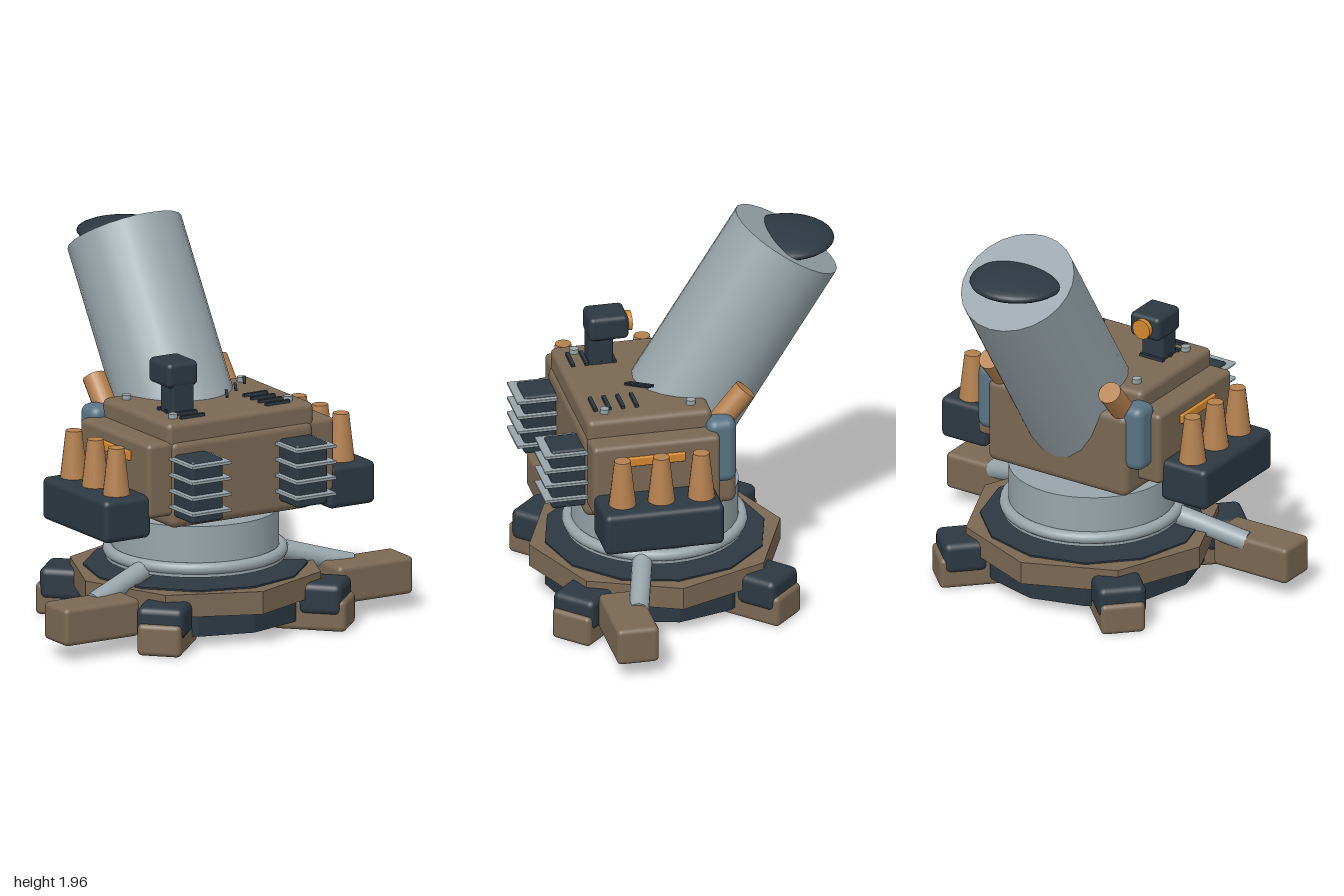
import * as THREE from 'three';
import { RoundedBoxGeometry } from 'three/addons/geometries/RoundedBoxGeometry.js';

const mat = (color, flatShading = false) => new THREE.MeshStandardMaterial({ color, flatShading });
const BROWN = mat(0x7a6853), DARK = mat(0x2c3842), GREY = mat(0x98a5aa);
const COPPER = mat(0xb5814f), ORANGE = mat(0xd4892f), BLUE = mat(0x587484);
const BROWN_FLAT = mat(0x7a6853, true), DARK_FLAT = mat(0x2c3842, true);

export function createModel() {
  const model = new THREE.Group();
  model.name = 'mortarTurret';

  const add = (name, geometry, material, x = 0, y = 0, z = 0, parent = model) => {
    const mesh = new THREE.Mesh(geometry, material);
    mesh.name = name;
    mesh.position.set(x, y, z);
    parent.add(mesh);
    return mesh;
  };
  // Rounded box given by its limits on each axis
  const block = (name, material, [x0, x1], [y0, y1], [z0, z1], r = 0.03, parent = model) =>
    add(name, new RoundedBoxGeometry(x1 - x0, y1 - y0, z1 - z0, 3, r), material,
      (x0 + x1) / 2, (y0 + y1) / 2, (z0 + z1) / 2, parent);
  // Same block on the left and the right
  const blockPair = (name, material, [x0, x1], y, z, r) => {
    block(name + 'Left', material, [x0, x1], y, z, r);
    block(name + 'Right', material, [-x1, -x0], y, z, r);
  };
  const drum = (name, material, r, y0, y1, sides) =>
    add(name, new THREE.CylinderGeometry(r, r, y1 - y0, sides), material, 0, (y0 + y1) / 2, CZ);
  // Cylinder between two points
  const rod = (name, material, a, b, r, sides) => {
    const p = new THREE.Vector3(...a), q = new THREE.Vector3(...b);
    const mesh = add(name, new THREE.CylinderGeometry(r, r, p.distanceTo(q), sides), material);
    mesh.position.addVectors(p, q).multiplyScalar(0.5);
    mesh.quaternion.setFromUnitVectors(new THREE.Vector3(0, 1, 0), q.sub(p).normalize());
    return mesh;
  };
  const CZ = 0.13; // centre of the base

  // Base plates
  drum('baseRing', BROWN_FLAT, 0.63, 0.16, 0.275, 8);
  drum('baseDisc', DARK_FLAT, 0.55, 0.05, 0.283, 12);

  // Four diagonal feet
  for (let i = 0; i < 4; i++) {
    const foot = new THREE.Group();
    foot.name = 'foot' + (i + 1);
    foot.position.z = CZ;
    foot.rotation.y = Math.PI / 4 + i * Math.PI / 2;
    block('footPad', BROWN, [-0.11, 0.11], [0, 0.16], [0.41, 0.78], 0.025, foot);
    block('footClamp', DARK, [-0.12, 0.12], [0.08, 0.24], [0.54, 0.76], 0.035, foot);
    model.add(foot);
  }

  // Side outriggers with their struts
  blockPair('outrigger', BROWN, [0.57, 1], [0.08, 0.27], [0.335, 0.545], 0.025);
  for (const s of [1, -1])
    rod('strut', GREY, [s * 0.28, 0.365, 0.25], [s * 0.74, 0.235, 0.38], 0.05, 16);

  // Turning ring
  drum('turntable', GREY, 0.41, 0.32, 0.57, 40);
  drum('turntableFlange', GREY, 0.44, 0.32, 0.365, 40);
  add('turntableRim', new THREE.TorusGeometry(0.425, 0.03, 10, 40), GREY, 0, 0.36, CZ).rotation.x = Math.PI / 2;

  // Hull
  block('hullCore', BROWN, [-0.41, 0.41], [0.6, 1.04], [-0.19, 0.575], 0.04);
  block('hullSides', BROWN, [-0.535, 0.535], [0.665, 1.04], [-0.08, 0.56], 0.025);
  block('hullRoof', BROWN, [-0.42, 0.42], [1, 1.13], [-0.065, 0.56], 0.03);
  blockPair('rearPad', BLUE, [0.36, 0.485], [0.75, 1.09], [-0.175, -0.03], 0.045);
  blockPair('sideStrip', ORANGE, [0.52, 0.55], [0.93, 0.977], [0.1, 0.4], 0.006);

  // Front radiators with fins
  blockPair('radiator', DARK, [0.21, 0.39], [0.66, 0.975], [0.53, 0.735], 0.015);
  for (let i = 0; i < 4; i++) {
    const y = 0.715 + i * 0.08;
    blockPair('radiatorFin', GREY, [0.185, 0.415], [y - 0.008, y + 0.008], [0.55, 0.775], 0.004);
  }

  // Side pods with three nozzles each
  blockPair('pod', DARK, [0.51, 0.778], [0.57, 0.785], [-0.045, 0.555], 0.03);
  for (const s of [1, -1])
    for (const z of [0.045, 0.245, 0.44])
      add('nozzle', new THREE.CylinderGeometry(0.04, 0.07, 0.26, 20), COPPER, s * 0.645, 0.89, z);

  // Exhaust pipes
  for (const s of [1, -1])
    rod('exhaust', COPPER, [s * 0.35, 0.96, -0.055], [s * 0.35, 1.187, -0.245], 0.058, 20);

  // Barrel and the dark bore plate at its mouth
  rod('barrel', GREY, [0, 0.79, 0.112], [0, 1.805, -0.53], 0.29, 24);
  add('bore', new THREE.SphereGeometry(0.235, 28, 16), DARK, 0, 1.815, -0.53).scale.y = 0.23;

  // Periscope
  block('periscopeNeck', DARK, [-0.305, -0.18], [1.12, 1.3], [0.295, 0.415], 0.012);
  block('periscopeHead', DARK, [-0.33, -0.157], [1.262, 1.388], [0.22, 0.418], 0.025);
  add('periscopeLens', new THREE.CylinderGeometry(0.05, 0.05, 0.04, 20), ORANGE,
    -0.243, 1.322, 0.215).rotation.x = Math.PI / 2;

  // Roof bolts, vents and slanted slats
  for (const x of [-0.33, 0.33])
    for (const z of [0.025, 0.458])
      add('roofBolt', new THREE.CylinderGeometry(0.023, 0.023, 0.03, 14), GREY, x, 1.138, z);
  for (const x of [-0.245, 0.245])
    for (let i = 0; i < 4; i++)
      add('roofVent', new THREE.BoxGeometry(0.135, 0.02, 0.018), DARK, x, 1.135, 0.29 + i * 0.069);
  for (let i = 0; i < 3; i++)
    add('roofSlat', new THREE.BoxGeometry(0.125, 0.01, 0.014), DARK,
      0.11 + i * 0.05, 1.145 + i * 0.028, 0.245).rotation.y = 1.05;

  return model;
}
